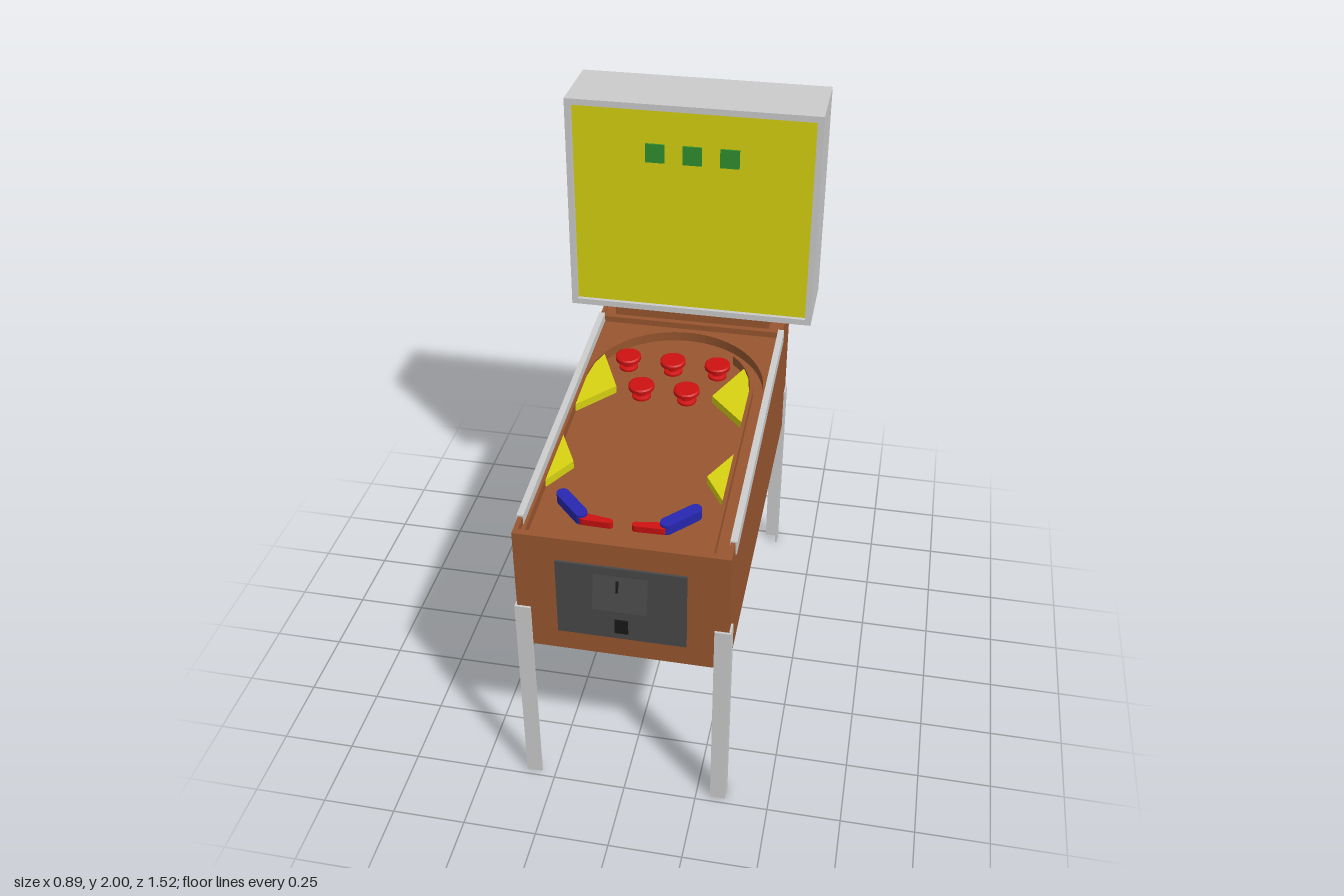
import * as THREE from 'three';

const mat = (c) => new THREE.MeshStandardMaterial({ color: c, flatShading: false });
const WOOD = mat(0x97562f), GREY = mat(0xcccccc), YELLOW = mat(0xd6d111), RED = mat(0xcc1111);
const BLUE = mat(0x2727b0), GREEN = mat(0x2f902f), DARK = mat(0x484848), BLACK = mat(0x181818);

const SLOPE = 0.0742;
const rim = (z) => 1.06 + (0.725 - z) * SLOPE; // height of the cabinet's sloping top edge
const DEPTH = 0.065;                           // playfield below the rim

function add(parent, name, geo, material) {
  const m = new THREE.Mesh(geo, material);
  m.name = name;
  parent.add(m);
  return m;
}

// Box given by its min and max along each axis
function box(parent, name, material, [x0, x1], [y0, y1], [z0, z1]) {
  const m = add(parent, name, new THREE.BoxGeometry(x1 - x0, y1 - y0, z1 - z0), material);
  m.position.set((x0 + x1) / 2, (y0 + y1) / 2, (z0 + z1) / 2);
  return m;
}

// Side profile of [z, y] points, extruded from x0 to x1
function profile(parent, name, material, pts, x0, x1) {
  const shape = new THREE.Shape(pts.map(([z, y]) => new THREE.Vector2(z, y)));
  const geo = new THREE.ExtrudeGeometry(shape, { depth: x1 - x0, bevelEnabled: false });
  geo.rotateY(-Math.PI / 2).translate(x1, 0, 0);
  return add(parent, name, geo, material);
}

// Plan outline of [x, z] points, extruded upwards by h
function slab(parent, name, material, pts, h, y = 0) {
  const shape = new THREE.Shape(pts.map(([x, z]) => new THREE.Vector2(x, -z)));
  const geo = new THREE.ExtrudeGeometry(shape, { depth: h, bevelEnabled: false });
  geo.rotateX(-Math.PI / 2).translate(0, y, 0);
  return add(parent, name, geo, material);
}

function arc(cz, r, a0, a1, n) {
  return Array.from({ length: n + 1 }, (_, i) => {
    const a = a0 + ((a1 - a0) * i) / n;
    return [r * Math.cos(a), cz - r * Math.sin(a)];
  });
}

// Round-ended bar between two plan points, tapering from radius r0 to r1
function bar(parent, name, material, [xa, za], [xb, zb], r0, r1, h, y) {
  const dir = Math.atan2(zb - za, xb - xa), pts = [];
  for (let i = 0; i <= 10; i++) {
    const a = dir + Math.PI / 2 + (Math.PI * i) / 10;
    pts.push([xa + r0 * Math.cos(a), za + r0 * Math.sin(a)]);
  }
  for (let i = 0; i <= 10; i++) {
    const a = dir - Math.PI / 2 + (Math.PI * i) / 10;
    pts.push([xb + r1 * Math.cos(a), zb + r1 * Math.sin(a)]);
  }
  return slab(parent, name, material, pts, h, y);
}

function buildCabinet(root) {
  const g = new THREE.Group();
  g.name = 'cabinet';
  root.add(g);
  const F = 0.722, B = -0.733, Y = 0.605;
  const wall = (z1, z0, drop) => [[z0, Y], [z1, Y], [z1, rim(z1) - drop], [z0, rim(z0) - drop]];
  profile(g, 'cabinetCore', WOOD, wall(0.70, -0.5, DEPTH), -0.33, 0.33);
  profile(g, 'frontWall', WOOD, wall(F, 0.70, 0), -0.33, 0.33);
  profile(g, 'rearDeck', WOOD, wall(-0.5, B, 0.008), -0.33, 0.33);
  for (const s of [-1, 1]) {
    profile(g, 'sideWall', WOOD, wall(F, B, 0), s > 0 ? 0.33 : -0.345, s > 0 ? 0.345 : -0.33);
    // Metal rail along the top edge
    profile(g, 'sideRail', GREY,
      [[-0.5, 1.108], [0.645, 1.022], [0.645, 1.071], [-0.5, 1.157]],
      s > 0 ? 0.328 : -0.35, s > 0 ? 0.35 : -0.328);
  }
  box(g, 'frontLiner', DARK, [-0.329, 0.329], [0.99, 1.055], [0.696, 0.701]);
  box(g, 'neck', WOOD, [-0.29, 0.29], [1.13, 1.2], [-0.715, -0.52]);

  // Coin door
  box(g, 'coinDoor', DARK, [-0.21, 0.21], [0.685, 0.975], [0.715, 0.73]);
  profile(g, 'coinChute', DARK, [[0.725, 0.815], [0.76, 0.825], [0.729, 0.948], [0.725, 0.948]], -0.087, 0.087);
  const slot = box(g, 'coinSlot', BLACK, [-0.013, -0.005], [0.89, 0.93], [0.737, 0.743]);
  slot.rotation.x = -0.246;
  box(g, 'coinReturn', BLACK, [-0.022, 0.022], [0.71, 0.765], [0.725, 0.734]);
}

function buildLegs(root) {
  // Angle-section legs with the corner facing outwards
  const t = 0.008, w = 0.053;
  for (const sx of [-1, 1]) for (const sz of [-1, 1]) {
    const X = 0.352, Z = sz > 0 ? 0.73 : 0.738;
    const pts = [[X, Z], [X - w, Z], [X - w, Z - t], [X - t, Z - t], [X - t, Z - w], [X, Z - w]]
      .map(([x, z]) => [x * sx, z * sz]);
    slab(root, sz > 0 ? 'frontLeg' : 'backLeg', GREY, pts, 0.765);
  }
}

function buildPlayfield(root) {
  const g = new THREE.Group();
  g.name = 'playfield';
  g.position.y = rim(0) - DEPTH;
  g.rotation.x = Math.atan(SLOPE);
  root.add(g);

  // Arched border and the shooter lane divider
  slab(g, 'archBorder', WOOD, [
    [0.33, 0.695], [0.318, 0.695], ...arc(-0.16, 0.318, 0, Math.PI, 32),
    [-0.318, 0.695], [-0.33, 0.695], [-0.33, -0.5], [0.33, -0.5],
  ], 0.04, -0.003);
  const end = 0.83;
  slab(g, 'laneDivider', WOOD, [
    [0.27, 0.695], ...arc(-0.16, 0.27, 0, end, 14), ...arc(-0.16, 0.283, end, 0, 14), [0.283, 0.695],
  ], 0.04, -0.003);

  // Yellow side bumpers
  const blocks = [
    [[-0.318, 0.01], [-0.2, -0.12], [-0.285, -0.305], [-0.307, -0.24], [-0.318, -0.16]],
    [[0.27, 0.01], [0.145, -0.12], [0.232, -0.3], [0.257, -0.24], [0.27, -0.16]],
    [[-0.318, 0.18], [-0.25, 0.31], [-0.318, 0.42]],
    [[0.27, 0.18], [0.2, 0.31], [0.27, 0.42]],
  ];
  blocks.forEach((p) => slab(g, 'sideBumper', YELLOW, p, 0.032, -0.002));

  // Mushroom bumpers: base, stem and cap
  const lathe = [[0, -0.002], [0.034, -0.002], [0.034, 0.008], [0.02, 0.012], [0.02, 0.036],
    [0.046, 0.038], [0.046, 0.05], [0.04, 0.054], [0, 0.054]];
  const segs = [];
  for (let i = 0; i + 1 < lathe.length; i++) segs.push([lathe[i], lathe[i + 1]]);
  for (const [x, z] of [[-0.19, -0.28], [-0.025, -0.28], [0.138, -0.28], [-0.108, -0.117], [0.055, -0.117]]) {
    const b = new THREE.Group();
    b.name = 'mushroomBumper';
    b.position.set(x, 0, z);
    g.add(b);
    // One lathe per segment keeps the edges sharp
    segs.forEach((s) => add(b, 'bumperSurface',
      new THREE.LatheGeometry(s.map(([r, y]) => new THREE.Vector2(r, y)), 24), RED));
  }

  // Slingshot guides and flippers, mirrored about the lane's middle
  for (const s of [-1, 1]) {
    const at = (x, z) => [-0.026 + s * x, z];
    bar(g, 'flipperGuide', BLUE, at(0.217, 0.478), at(0.139, 0.556), 0.021, 0.021, 0.04, -0.002);
    bar(g, 'flipper', RED, at(0.128, 0.566), at(0.042, 0.573), 0.016, 0.011, 0.024, 0.004);
  }
}

function buildBackbox(root) {
  const g = new THREE.Group();
  g.name = 'backbox';
  root.add(g);
  const W = 0.447, b = 0.022, y0 = 1.2, y1 = 2, front = -0.476;
  box(g, 'backboxBody', GREY, [-W, W], [y0, y1], [-0.757, -0.496]);
  // Raised frame around the display
  const frame = new THREE.Shape([[-W, y0], [W, y0], [W, y1], [-W, y1]].map((p) => new THREE.Vector2(...p)));
  frame.holes.push(new THREE.Path([[-W + b, y0 + b], [-W + b, y1 - b], [W - b, y1 - b], [W - b, y0 + b]]
    .map((p) => new THREE.Vector2(...p))));
  const geo = new THREE.ExtrudeGeometry(frame, { depth: 0.02, bevelEnabled: false });
  add(g, 'backboxFrame', geo, GREY).position.z = front - 0.02;
  box(g, 'displayPanel', YELLOW, [-W + b, W - b], [y0 + b, y1 - b], [-0.5, -0.491]);
  for (const x of [-0.132, 0, 0.132]) {
    box(g, 'scoreWindow', GREEN, [x - 0.034, x + 0.034], [1.785, 1.853], [-0.495, -0.484]);
  }
}

export function createModel() {
  const root = new THREE.Group();
  root.name = 'pinballTable';
  buildCabinet(root);
  buildLegs(root);
  buildPlayfield(root);
  buildBackbox(root);
  return root;
}
